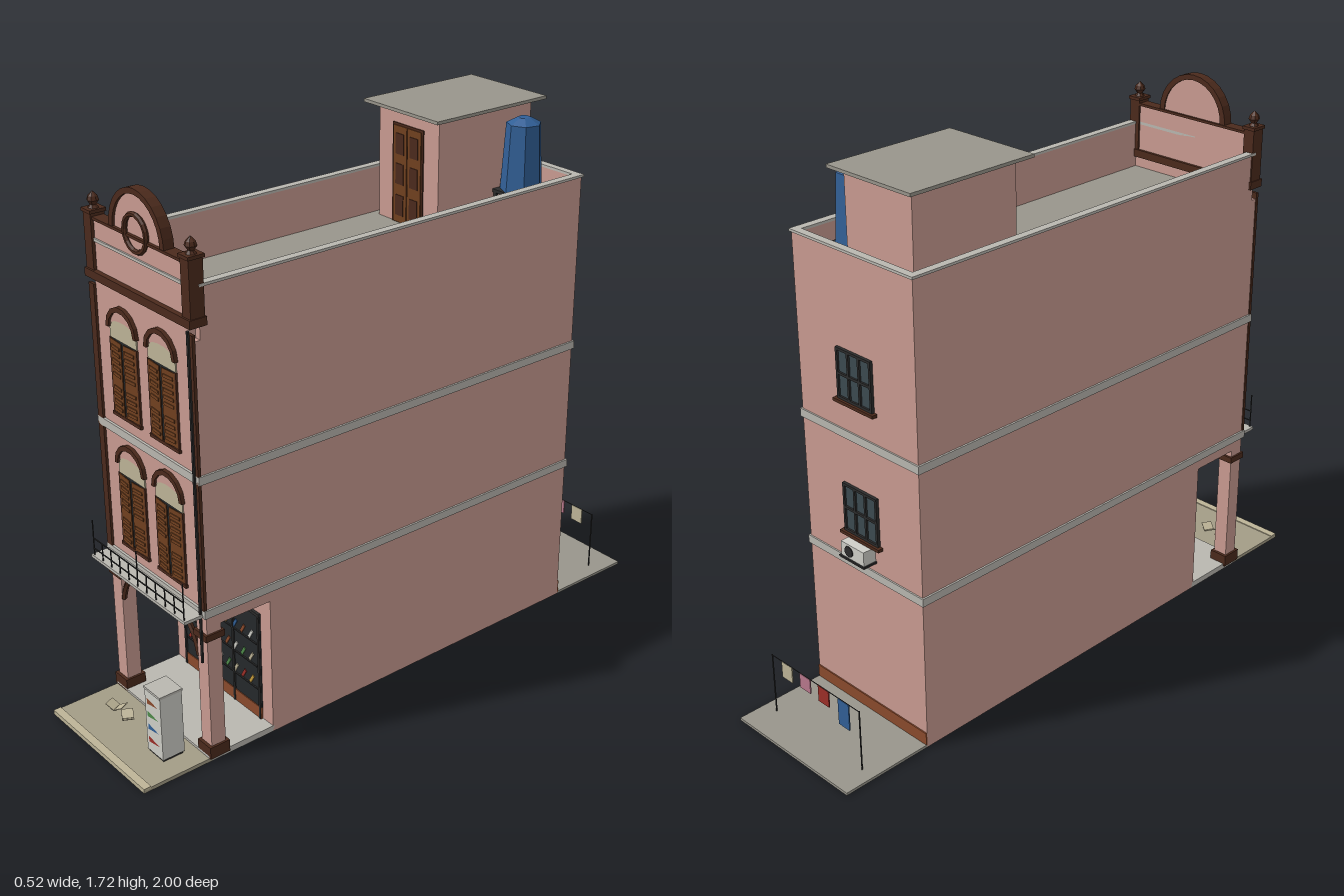
import * as THREE from 'three';

const COLORS = {
  pink: 0xc99b91, brown: 0x4b2a1c, wood: 0x70401f, trim: 0xb9b7b0, roof: 0x98958b, cream: 0xbdb497,
  dark: 0x25282b, blue: 0x315f96, red: 0x9c2f28, white: 0xcfcfc8, paving: 0xa39c86, tile: 0x8a4a2c,
  glass: 0x3c4a50, iron: 0x2b2b2b, green: 0x4f8a4a, gold: 0xc49a3c, rose: 0xb8788c,
};
const mats = {};
for (const [k, c] of Object.entries(COLORS))
  mats[k] = new THREE.MeshStandardMaterial({ color: c, flatShading: true, side: THREE.DoubleSide });

function add(parent, name, geo, mat, x = 0, y = 0, z = 0) {
  const m = new THREE.Mesh(geo, mats[mat]);
  m.name = name;
  m.position.set(x, y, z);
  parent.add(m);
  return m;
}
// Box given by its extents on each axis
function box(parent, name, mat, x0, x1, y0, y1, z0, z1) {
  return add(parent, name, new THREE.BoxGeometry(x1 - x0, y1 - y0, z1 - z0), mat,
    (x0 + x1) / 2, (y0 + y1) / 2, (z0 + z1) / 2);
}
function group(parent, name, x = 0, y = 0, z = 0) {
  const g = new THREE.Group();
  g.name = name;
  g.position.set(x, y, z);
  parent.add(g);
  return g;
}
// Half-ellipse band (or solid when no inner radii) standing on y = 0
function archGeo(rx, ry, depth, ix = 0, iy = 0, seg = 7) {
  const pts = [];
  for (let i = 0; i <= seg; i++) {
    const a = Math.PI * i / seg;
    pts.push(new THREE.Vector2(rx * Math.cos(a), ry * Math.sin(a)));
  }
  if (ix) for (let i = seg; i >= 0; i--) {
    const a = Math.PI * i / seg;
    pts.push(new THREE.Vector2(ix * Math.cos(a), iy * Math.sin(a)));
  }
  return new THREE.ExtrudeGeometry(new THREE.Shape(pts), { depth, bevelEnabled: false });
}

// Arched front window with a pair of louvred shutters
function shutterWindow(parent, x, y) {
  const g = group(parent, 'shutterWindow', x, y, 0.76);
  box(g, 'windowOpening', 'dark', -0.062, 0.062, 0.005, 0.235, 0, 0.002);
  box(g, 'windowSill', 'brown', -0.072, 0.072, -0.006, 0.004, 0, 0.009);
  for (const s of [-1, 1]) {
    box(g, 'windowJamb', 'brown', s * 0.066 - 0.003, s * 0.066 + 0.003, 0, 0.235, 0, 0.006);
    const leaf = group(g, 'shutterLeaf', s * 0.063, 0, 0.003);
    leaf.rotation.y = s * 0.08;
    const a = Math.min(0, -s * 0.058), b = Math.max(0, -s * 0.058);
    box(leaf, 'shutterPanel', 'wood', a, b, 0.006, 0.232, 0, 0.003);
    for (let i = 0; i < 10; i++)
      if (i !== 4) box(leaf, 'louvre', 'wood', a + 0.008, b - 0.008, 0.018 + i * 0.021, 0.028 + i * 0.021, 0.003, 0.0055);
  }
  box(g, 'fanlightBase', 'cream', -0.067, 0.067, 0.235, 0.275, 0, 0.004);
  add(g, 'fanlight', archGeo(0.067, 0.05, 0.004), 'cream', 0, 0.27, 0);
  add(g, 'archRecess', archGeo(0.066, 0.058, 0.003, 0.06, 0.02), 'pink', 0, 0.275, 0.002);
  add(g, 'windowArch', archGeo(0.076, 0.075, 0.012, 0.062, 0.059), 'brown', 0, 0.268, 0);
}

// Barred back window
function backWindow(parent, y) {
  const g = group(parent, 'backWindow', 0, y, -0.69);
  box(g, 'backGlass', 'glass', -0.07, 0.07, 0, 0.15, -0.004, 0);
  for (const x of [-0.07, -0.023, 0.023, 0.07]) box(g, 'backMullion', 'iron', x - 0.004, x + 0.004, 0, 0.15, -0.01, 0);
  for (const h of [0, 0.075, 0.15]) box(g, 'backTransom', 'iron', -0.074, 0.074, h - 0.004, h + 0.004, -0.01, 0);
  box(g, 'backSill', 'brown', -0.085, 0.085, -0.014, -0.004, -0.018, 0);
}

export function createModel() {
  const model = new THREE.Group();
  model.name = 'shophouse';

  // Ground slabs
  box(model, 'sidewalk', 'paving', -0.25, 0.25, 0, 0.012, 0.76, 1);
  box(model, 'curb', 'cream', -0.25, 0.25, 0, 0.015, 0.975, 1);
  box(model, 'porchFloor', 'trim', -0.25, 0.25, 0, 0.02, 0.53, 0.77);
  box(model, 'backYard', 'roof', -0.25, 0.25, 0, 0.009, -1, -0.69);

  // Main walls, recessed roof and parapets
  box(model, 'groundFloor', 'pink', -0.25, 0.25, 0, 0.46, -0.69, 0.535);
  box(model, 'upperFloors', 'pink', -0.25, 0.25, 0.46, 1.345, -0.69, 0.76);
  box(model, 'roofDeck', 'roof', -0.23, 0.23, 1.345, 1.35, -0.67, 0.73);
  for (const s of [-1, 1]) {
    box(model, 'sideParapet', 'pink', s * 0.24 - 0.01, s * 0.24 + 0.01, 1.345, 1.495, -0.69, 0.74);
    box(model, 'sideCoping', 'trim', s * 0.242 - 0.013, s * 0.242 + 0.013, 1.495, 1.503, -0.695, 0.74);
  }
  box(model, 'backParapet', 'pink', -0.23, 0.23, 1.345, 1.495, -0.69, -0.67);
  box(model, 'backCoping', 'trim', -0.23, 0.23, 1.495, 1.503, -0.695, -0.67);
  for (const y of [0.495, 0.922]) box(model, 'floorBand', 'trim', -0.256, 0.256, y, y + 0.026, -0.695, 0.768);

  // Front parapet with posts, finials, arch and round ornament
  box(model, 'frontParapet', 'pink', -0.23, 0.23, 1.345, 1.56, 0.73, 0.76);
  box(model, 'parapetCornice', 'brown', -0.257, 0.257, 1.385, 1.41, 0.72, 0.776);
  box(model, 'parapetLine', 'trim', -0.22, 0.22, 1.495, 1.504, 0.73, 0.765);
  box(model, 'parapetCoping', 'brown', -0.22, 0.22, 1.558, 1.566, 0.726, 0.766);
  add(model, 'gableArch', archGeo(0.118, 0.125, 0.022, 0, 0, 14), 'pink', 0, 1.563, 0.734);
  add(model, 'gableRim', archGeo(0.134, 0.139, 0.034, 0.115, 0.122, 14), 'brown', 0, 1.563, 0.73);
  add(model, 'roundOrnament', new THREE.TorusGeometry(0.053, 0.008, 6, 18), 'brown', 0, 1.577, 0.764);
  const finial = [[0, 0], [0.016, 0], [0.009, 0.009], [0.018, 0.022], [0.014, 0.034], [0, 0.048]]
    .map(([r, h]) => new THREE.Vector2(r, h));
  for (const s of [-1, 1]) {
    const x = s * 0.235;
    box(model, 'parapetPost', 'brown', x - 0.019, x + 0.019, 1.41, 1.575, 0.724, 0.77);
    box(model, 'postCap', 'brown', x - 0.023, x + 0.023, 1.575, 1.585, 0.72, 0.774);
    add(model, 'finial', new THREE.LatheGeometry(finial, 8), 'brown', x, 1.585, 0.747);
    box(model, 'pilaster', 'brown', s * 0.24 - 0.013, s * 0.24 + 0.013, 0.52, 1.365, 0.758, 0.768);

    // Porch columns and curved braces
    const c = s * 0.225;
    box(model, 'porchColumn', 'pink', c - 0.025, c + 0.025, 0.02, 0.46, 0.71, 0.76);
    box(model, 'columnBase', 'brown', c - 0.032, c + 0.032, 0.012, 0.052, 0.7, 0.77);
    box(model, 'columnCap', 'brown', c - 0.031, c + 0.031, 0.417, 0.438, 0.702, 0.768);
    const curve = new THREE.QuadraticBezierCurve3(new THREE.Vector3(s * 0.198, 0.345, 0.755),
      new THREE.Vector3(s * 0.18, 0.43, 0.755), new THREE.Vector3(s * 0.115, 0.46, 0.755));
    add(model, 'porchBrace', new THREE.TubeGeometry(curve, 6, 0.009, 5), 'brown');
  }
  add(model, 'downpipe', new THREE.CylinderGeometry(0.005, 0.005, 1.03, 6), 'iron', 0.238, 0.86, 0.771);

  for (const y of [0.562, 0.992]) for (const x of [-0.095, 0.095]) shutterWindow(model, x, y);

  // Balcony and its railing
  box(model, 'redFascia', 'red', -0.195, 0.195, 0.463, 0.492, 0.758, 0.772);
  box(model, 'balconySlab', 'trim', -0.245, 0.245, 0.497, 0.507, 0.76, 0.83);
  const rail = group(model, 'balconyRailing');
  for (let i = 0; i <= 10; i++) {
    const x = -0.235 + i * 0.047;
    box(rail, 'railingPost', 'iron', x - 0.0015, x + 0.0015, 0.507, i % 5 ? 0.565 : 0.625, 0.823, 0.826);
  }
  for (const y of [0.53, 0.565]) box(rail, 'railingBar', 'iron', -0.237, 0.237, y - 0.0015, y + 0.0015, 0.823, 0.826);

  // Shop front with shelves of goods and folding grille
  const shop = group(model, 'shopFront', 0, 0, 0.535);
  box(shop, 'shopGlass', 'dark', -0.2, 0.2, 0.06, 0.39, 0, 0.004);
  box(shop, 'tileDado', 'tile', -0.2, 0.2, 0.02, 0.06, 0, 0.007);
  box(shop, 'shopHead', 'iron', -0.2, 0.2, 0.383, 0.393, 0, 0.009);
  for (const x of [-0.195, -0.055, 0.065, 0.195]) box(shop, 'shopMullion', 'iron', x - 0.004, x + 0.004, 0.02, 0.39, 0, 0.009);
  const goods = ['red', 'white', 'gold', 'green', 'blue', 'cream', 'tile'];
  [0.12, 0.2, 0.28].forEach((y, row) => {
    box(shop, 'displayShelf', 'iron', -0.185, 0.185, y, y + 0.004, 0, 0.008);
    for (let i = 0; i < 9; i++) {
      const x = -0.165 + i * 0.04;
      const item = box(shop, 'displayItem', goods[(i * 2 + row * 3) % 7], x - 0.005, x + 0.005, y + 0.006, y + 0.04, 0.004, 0.007);
      item.rotation.z = -0.55;
    }
  });
  for (const [x, tilt] of [[-0.09, 0.03], [-0.078, -0.04], [-0.066, 0.02], [-0.05, -0.02]])
    box(shop, 'grilleBar', 'iron', x - 0.0025, x + 0.0025, 0.05, 0.38, 0.007, 0.011).rotation.z = tilt;

  // Drinks cooler with pennants
  const cooler = group(model, 'cooler', 0.14, 0.012, 0.848);
  box(cooler, 'coolerBody', 'white', -0.04, 0.04, 0.008, 0.225, -0.038, 0.038);
  box(cooler, 'coolerTop', 'trim', -0.042, 0.042, 0.222, 0.23, -0.04, 0.04);
  box(cooler, 'coolerFoot', 'iron', -0.036, 0.036, 0, 0.008, -0.034, 0.034);
  ['red', 'blue', 'green', 'tile'].forEach((c, i) => {
    const tri = new THREE.Shape([[-0.028, -0.01], [0.028, 0], [-0.028, 0.01]].map(p => new THREE.Vector2(...p)));
    add(cooler, 'coolerPennant', new THREE.ShapeGeometry(tri), c, 0, 0.05 + i * 0.045, 0.0395);
  });

  // Loose folded sheets on the sidewalk
  for (const [x, z, a] of [[-0.135, 0.845, 0.4], [-0.065, 0.85, -0.5]]) {
    const g = group(model, 'foldedSheet', x, 0.025, z);
    g.rotation.y = a;
    for (const s of [-1, 1]) box(g, 'sheetHalf', 'cream', s * 0.015 - 0.016, s * 0.015 + 0.016, -0.001, 0.001, -0.018, 0.018).rotation.z = s * 0.5;
  }

  // Rooftop stair house
  const hut = group(model, 'stairHouse');
  box(hut, 'stairWalls', 'pink', -0.2, 0.07, 1.35, 1.71, -0.64, -0.26);
  box(hut, 'stairRoof', 'roof', -0.235, 0.1, 1.71, 1.72, -0.675, -0.225);
  box(hut, 'stairDoorFrame', 'brown', -0.134, 0.004, 1.35, 1.665, -0.26, -0.256);
  for (const x of [-0.127, -0.063]) {
    box(hut, 'stairDoorLeaf', 'wood', x, x + 0.06, 1.352, 1.658, -0.256, -0.253);
    for (const y of [1.375, 1.475, 1.57]) box(hut, 'doorPanel', 'brown', x + 0.012, x + 0.048, y, y + 0.065, -0.253, -0.251);
  }

  // Water tank on a low stand
  add(model, 'waterTank', new THREE.CylinderGeometry(0.054, 0.066, 0.21, 7), 'blue', 0.132, 1.56, -0.55);
  add(model, 'tankLid', new THREE.CylinderGeometry(0.02, 0.054, 0.018, 7), 'blue', 0.132, 1.674, -0.55);
  box(model, 'tankStand', 'iron', 0.072, 0.195, 1.445, 1.455, -0.615, -0.485);
  for (const x of [0.08, 0.186]) for (const z of [-0.607, -0.493])
    box(model, 'tankLeg', 'iron', x - 0.005, x + 0.005, 1.35, 1.445, z - 0.005, z + 0.005);

  // Back wall: windows, cooling unit and dado
  backWindow(model, 0.62);
  backWindow(model, 1.05);
  box(model, 'coolingUnit', 'white', -0.05, 0.05, 0.558, 0.604, -0.735, -0.69);
  add(model, 'coolingFan', new THREE.CylinderGeometry(0.018, 0.018, 0.003, 10), 'iron', 0.015, 0.581, -0.736).rotation.x = Math.PI / 2;
  box(model, 'coolingBracket', 'iron', -0.055, 0.055, 0.552, 0.558, -0.74, -0.69);
  box(model, 'backDado', 'tile', -0.25, 0.25, 0, 0.05, -0.694, -0.69);

  // Clothes line
  for (const x of [-0.2, 0.2]) add(model, 'linePole', new THREE.CylinderGeometry(0.0025, 0.0025, 0.21, 6), 'iron', x, 0.11, -0.9);
  box(model, 'clothesLine', 'iron', -0.2, 0.2, 0.212, 0.214, -0.901, -0.899);
  [['cream', 0.13, 0.055], ['rose', 0.045, 0.05], ['red', -0.04, 0.055], ['blue', -0.13, 0.09]].forEach(([c, x, h]) =>
    box(model, 'laundry', c, x - 0.024, x + 0.024, 0.213 - h, 0.213, -0.902, -0.898));

  return model;
}
